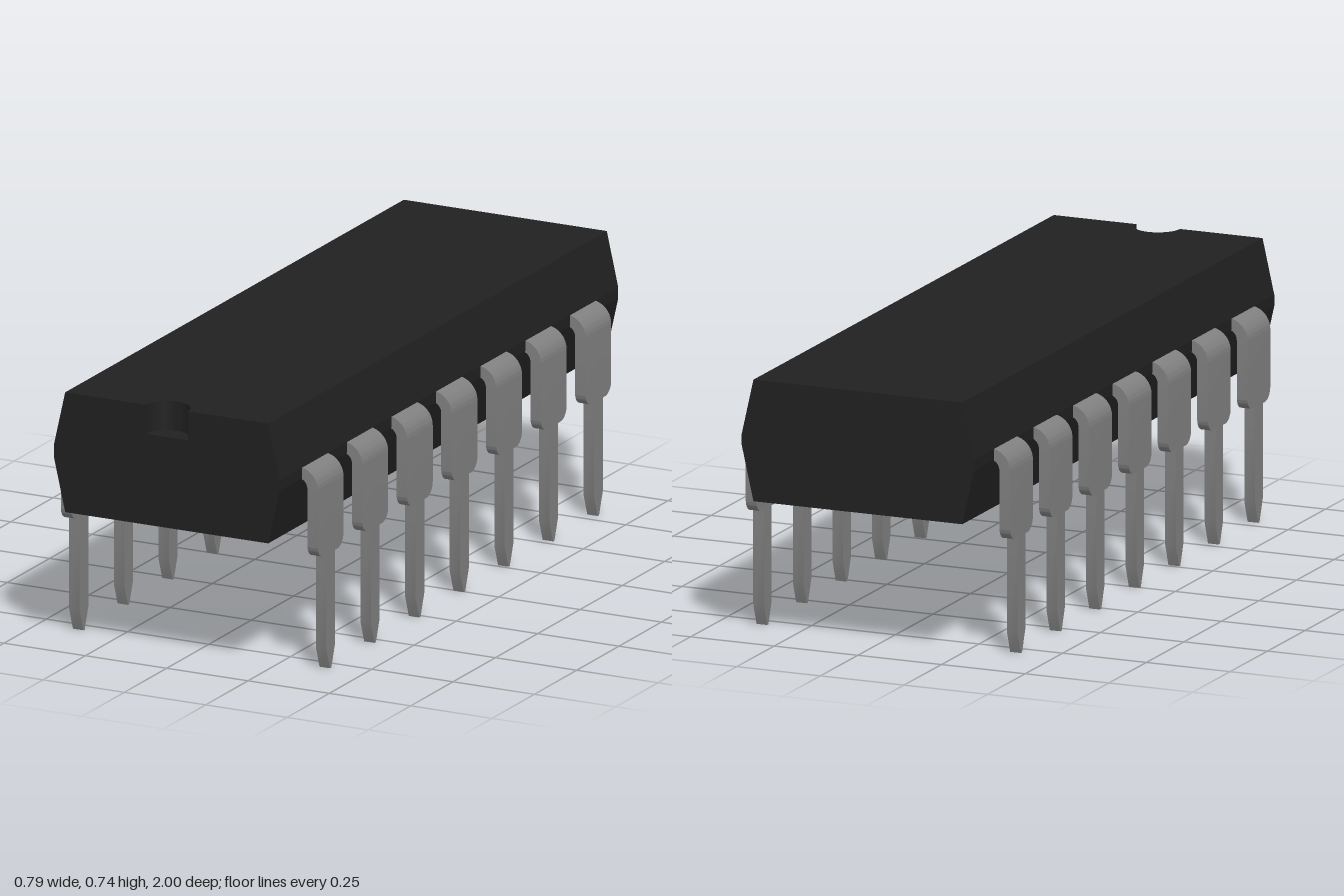
import * as THREE from 'three';
import { mergeGeometries, toCreasedNormals } from 'three/addons/utils/BufferGeometryUtils.js';

const polygon = (pts) => new THREE.Shape(pts.map(([x, y]) => new THREE.Vector2(x, y)));
const extrude = (shape, depth, curveSegments = 12) =>
  new THREE.ExtrudeGeometry(shape, { depth, bevelEnabled: false, curveSegments });

// Body heights and half widths
const BOTTOM = 0.401, TOP = 0.743, NOTCH_FLOOR = 0.66;
const SIDE_LOW = 0.556, SIDE_HIGH = 0.587;
const EDGE = 0.312, WAIST = 0.347, NOTCH_R = 0.065;
const FLOOR_W = EDGE + (WAIST - EDGE) * (TOP - NOTCH_FLOOR) / (TOP - SIDE_HIGH);

// Six-sided case below the notch floor, extruded along z
function lowerBody() {
  return extrude(polygon([
    [-EDGE, BOTTOM], [EDGE, BOTTOM], [WAIST, SIDE_LOW], [WAIST, SIDE_HIGH],
    [FLOOR_W, NOTCH_FLOOR], [-FLOOR_W, NOTCH_FLOOR], [-WAIST, SIDE_HIGH], [-WAIST, SIDE_LOW],
  ]), 2).translate(0, 0, -1);
}

// Top slab with a half-round notch in its front edge, tapering upwards
function upperBody() {
  const s = new THREE.Shape();
  s.moveTo(-FLOOR_W, -1);
  s.lineTo(-NOTCH_R, -1);
  s.absarc(0, -1, NOTCH_R, Math.PI, 0, true);
  s.lineTo(FLOOR_W, -1);
  s.lineTo(FLOOR_W, 1);
  s.lineTo(-FLOOR_W, 1);
  s.closePath();
  const g = extrude(s, TOP - NOTCH_FLOOR, 24).rotateX(-Math.PI / 2).translate(0, NOTCH_FLOOR, 0);
  const p = g.attributes.position;
  for (let i = 0; i < p.count; i++) {
    if (p.getY(i) > TOP - 0.01 && Math.abs(p.getX(i)) > 0.2) p.setX(i, Math.sign(p.getX(i)) * EDGE);
  }
  return g;
}

// Pin: quarter bend leaving the case, then a wide shoulder narrowing to a pointed leg
function pinGeometry() {
  const cx = 0.335, cy = 0.527, outer = 0.06, inner = 0.028, half = 0.076;
  const bend = new THREE.Shape();
  bend.moveTo(0.31, cy + inner);
  bend.lineTo(cx, cy + inner);
  bend.absarc(cx, cy, inner, Math.PI / 2, 0, true);
  bend.lineTo(cx + outer, cy);
  bend.absarc(cx, cy, outer, 0, Math.PI / 2, false);
  bend.lineTo(0.31, cy + outer);
  bend.closePath();

  const low = 0.33, r = 0.036, leg = 0.026, tip = 0.004, point = 0.062;
  const blade = new THREE.Shape();
  blade.moveTo(half, cy);
  blade.lineTo(-half, cy);
  blade.lineTo(-half, low + r);
  blade.absarc(-half + r, low + r, r, Math.PI, Math.PI * 1.5, false);
  blade.lineTo(-leg, low);
  blade.lineTo(-leg, point);
  blade.lineTo(-tip, 0);
  blade.lineTo(tip, 0);
  blade.lineTo(leg, point);
  blade.lineTo(leg, low);
  blade.lineTo(half - r, low);
  blade.absarc(half - r, low + r, r, Math.PI * 1.5, Math.PI * 2, false);
  blade.closePath();

  return toCreasedNormals(mergeGeometries([
    extrude(bend, half * 2).translate(0, 0, -half),
    extrude(blade, outer - inner, 8).rotateY(Math.PI / 2).translate(cx + inner, 0, 0),
  ]), 0.6);
}

export function createModel() {
  const model = new THREE.Group();
  model.name = 'chipPackage';

  const bodyMaterial = new THREE.MeshStandardMaterial({ color: 0x202020 });
  const body = new THREE.Mesh(
    toCreasedNormals(mergeGeometries([lowerBody(), upperBody()]), 0.2), bodyMaterial);
  body.name = 'body';
  model.add(body);

  // Seven pins on each side
  const pinMaterial = new THREE.MeshStandardMaterial({ color: 0x808080 });
  const geometry = pinGeometry();
  for (const side of ['left', 'right']) {
    const row = new THREE.Group();
    row.name = `${side}Pins`;
    if (side === 'right') row.rotation.y = Math.PI;
    for (let i = 0; i < 7; i++) {
      const pin = new THREE.Mesh(geometry, pinMaterial);
      pin.name = `${side}Pin${i + 1}`;
      pin.position.z = (i - 3) * 0.2635;
      row.add(pin);
    }
    model.add(row);
  }
  return model;
}
